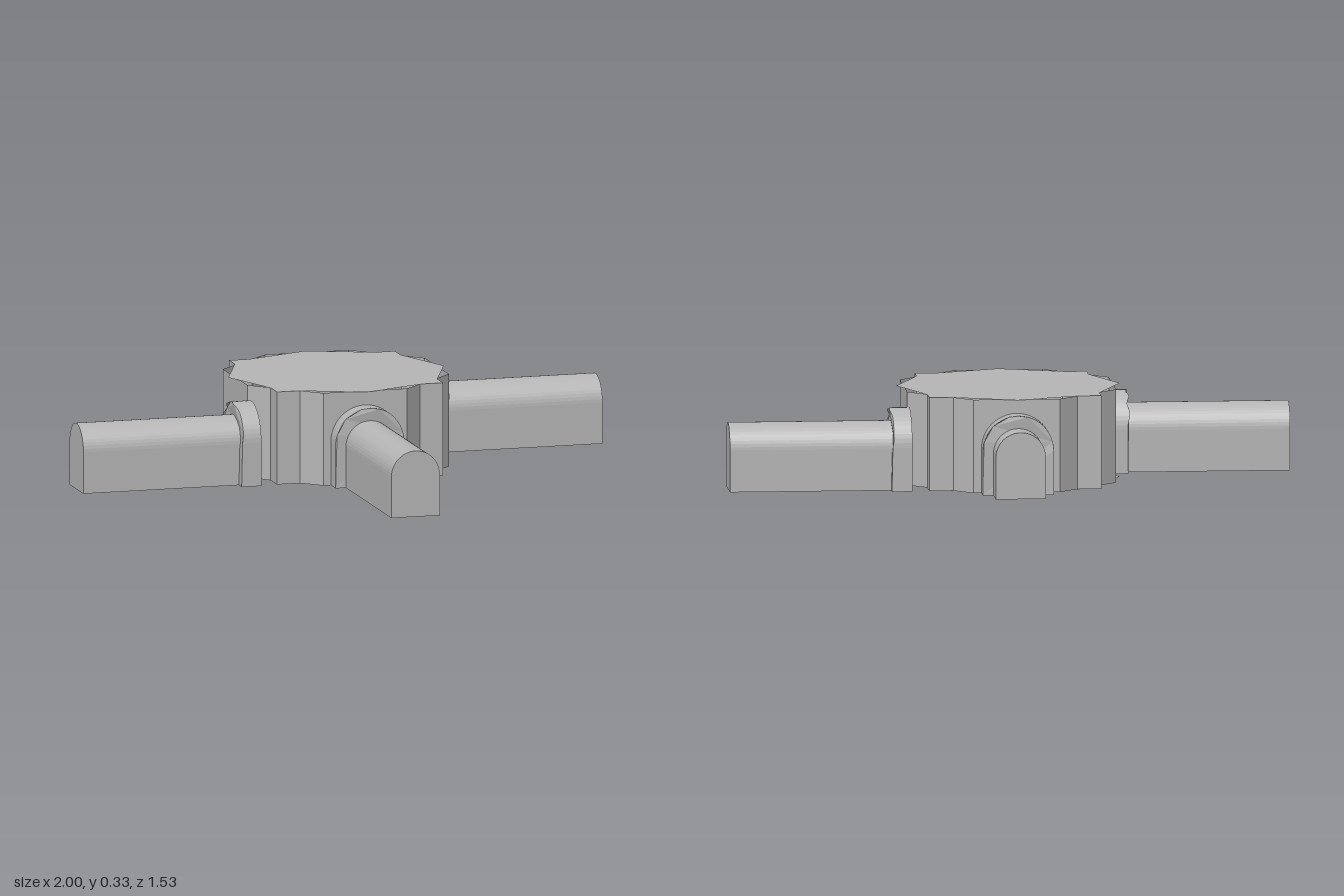
import * as THREE from 'three';

const stone = new THREE.MeshStandardMaterial({ color: 0xb5b5b5, flatShading: true, side: THREE.DoubleSide });
stone.name = 'grey stone';

const HUB_Z = -0.2375, HEIGHT = 0.33, WALL = 0.367, CORNER = 0.302;

function mesh(name, geometry) {
  const m = new THREE.Mesh(geometry, stone);
  m.name = name;
  return m;
}

// Repeats one quarter of a plan outline around the hub
function fourfold(quarter) {
  const points = [];
  for (let i = 0; i < 4; i++) {
    for (const [x, y] of quarter) {
      points.push(new THREE.Vector2(x, y).rotateAround(new THREE.Vector2(), i * Math.PI / 2));
    }
  }
  return points;
}

// Vertical wall along a closed plan outline
function wallGeometry(outline) {
  const pos = [];
  outline.forEach((a, i) => {
    const b = outline[(i + 1) % outline.length];
    const A = [a.x, 0, -a.y], B = [b.x, 0, -b.y];
    const C = [b.x, HEIGHT, -b.y], D = [a.x, HEIGHT, -a.y];
    pos.push(...A, ...B, ...C, ...A, ...C, ...D);
  });
  const g = new THREE.BufferGeometry();
  g.setAttribute('position', new THREE.Float32BufferAttribute(pos, 3));
  g.computeVertexNormals();
  return g;
}

// Round-topped section standing on the ground
function archShape(halfWidth, top) {
  const spring = top - halfWidth;
  const s = new THREE.Shape();
  s.moveTo(-halfWidth, 0);
  s.lineTo(halfWidth, 0);
  s.lineTo(halfWidth, spring);
  s.absarc(0, spring, halfWidth, 0, Math.PI, false);
  s.lineTo(-halfWidth, 0);
  return s;
}

function archPrism(halfWidth, top, start, end) {
  const g = new THREE.ExtrudeGeometry(archShape(halfWidth, top), {
    depth: end - start, bevelEnabled: false, curveSegments: 12,
  });
  return g.translate(0, 0, start);
}

// Collar with a slightly uneven outer face
function collarGeometry() {
  const g = archPrism(0.125, 0.28, WALL - 0.005, 0.435);
  const p = g.attributes.position;
  for (let i = 0; i < p.count; i++) {
    if (p.getZ(i) > 0.4) p.setZ(i, 0.431 + 0.005 * Math.sin(p.getX(i) * 70 + p.getY(i) * 45));
  }
  g.computeVertexNormals();
  return g;
}

export function createModel() {
  const model = new THREE.Group();
  model.name = 'vaultedJunction';

  // Hub: octagonal wall with square corner piers
  const hub = new THREE.Group();
  hub.name = 'hub';
  hub.position.z = HUB_Z;
  const inner = 0.218;
  hub.add(mesh('hubWall', wallGeometry(fourfold([
    [WALL, -0.152], [WALL, 0.152], [CORNER, inner], [CORNER, CORNER], [inner, CORNER],
  ]))));

  // Star-shaped roof and floor sheets
  const star = new THREE.Shape(fourfold([
    [0.393, 0], [CORNER, 0.23], [CORNER, CORNER], [0.23, CORNER],
  ]));
  const roof = mesh('roof', new THREE.ShapeGeometry(star).rotateX(-Math.PI / 2));
  roof.position.y = HEIGHT;
  hub.add(roof, mesh('floor', new THREE.ShapeGeometry(star).rotateX(Math.PI / 2)));
  model.add(hub);

  // Four arched passages: name, turn, sideways shift, reach from hub centre
  const passages = [
    ['front', 0, 0, 1.0025],
    ['left', Math.PI / 2, 0.1875, 1],
    ['back', Math.PI, 0, 0.53],
    ['right', -Math.PI / 2, 0.1875, 1],
  ];
  for (const [side, turn, shift, reach] of passages) {
    const passage = new THREE.Group();
    passage.name = side + 'Passage';
    passage.position.z = HUB_Z;
    passage.rotation.y = turn;
    const tunnel = mesh(side + 'Tunnel', archPrism(0.088, 0.235, WALL, reach));
    const collar = mesh(side + 'Collar', collarGeometry());
    tunnel.position.x = collar.position.x = shift;
    passage.add(tunnel, collar);
    model.add(passage);
  }
  return model;
}
